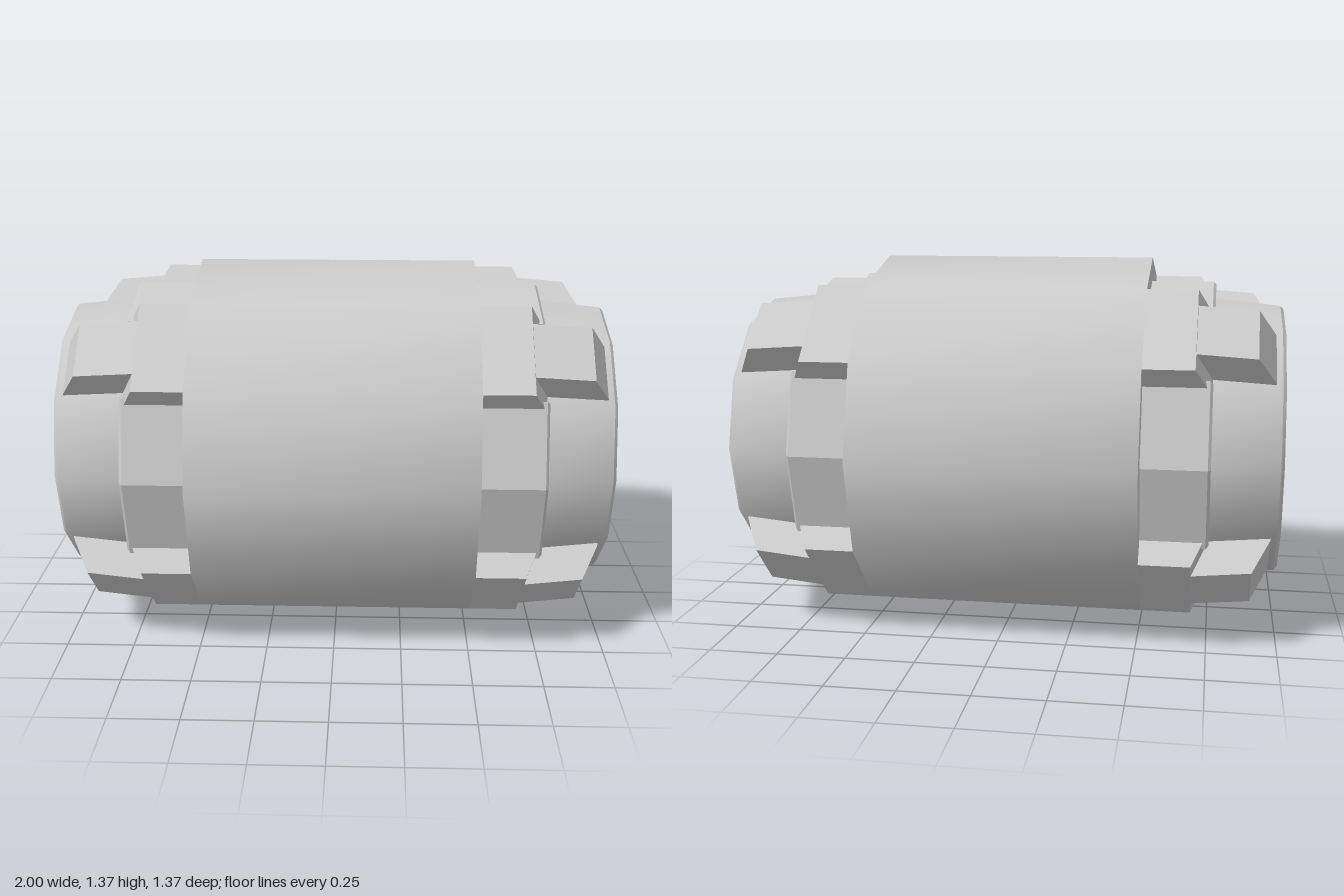
import * as THREE from 'three';
import { toCreasedNormals } from 'three/addons/utils/BufferGeometryUtils.js';
import { ConvexGeometry } from 'three/addons/geometries/ConvexGeometry.js';

const CY = 0.683;      // height of the barrel axis
const FLOOR = 0.82;    // x of the recessed end panel
const grey = new THREE.MeshStandardMaterial({ color: 0xcccccc });

function add(parent, name, geometry) {
  const mesh = new THREE.Mesh(geometry, grey);
  mesh.name = name;
  parent.add(mesh);
  return mesh;
}

// Convex block from [x, radius, tangent] points, turned by angle a about the barrel axis
function radialBlock(points, side, a) {
  const c = Math.cos(a), s = Math.sin(a);
  return new ConvexGeometry(points.map(([x, r, t]) =>
    new THREE.Vector3(x * side, CY + r * c - t * s, r * s + t * c)));
}

// Mirror a list of [x, radius, tangent] points across the tangent
const bothSides = (pts) => pts.flatMap(([x, r, t]) => [[x, r, t], [x, r, -t]]);

// Plate standing on an end panel; outline and hole are [z, y] points
function plate(outline, height, side, hole) {
  const toVec = ([z, y]) => new THREE.Vector2(-z * side, y);
  const shape = new THREE.Shape(outline.map(toVec));
  if (hole) shape.holes.push(new THREE.Path(hole.map(toVec)));
  const g = new THREE.ExtrudeGeometry(shape, { depth: height + 0.01, bevelEnabled: false });
  g.rotateY(side * Math.PI / 2);
  g.translate(side * (FLOOR - 0.01), 0, 0);
  return g;
}

const rect = (z0, z1, y0, y1) => [[z0, y0], [z1, y0], [z1, y1], [z0, y1]];

// Relief details on one end panel
function endDetails(side) {
  const g = new THREE.Group();
  g.name = side > 0 ? 'leftEndDetails' : 'rightEndDetails';
  const put = (name, outline, height, hole) => add(g, name, plate(outline, height, side, hole));

  put('backPlate', [[0.2, 0.74], [0.2, 0.87], [0.15, 0.91], [0.08, 0.93], [-0.09, 0.93],
    [-0.09, 0.83], [-0.04, 0.77], [-0.04, 0.62], [0.15, 0.62]], 0.015);

  // Curved channel sweeping round the lower part
  const arc = [];
  for (let i = 0; i <= 10; i++) {
    const a = -0.25 + i * 0.135;
    arc.push([0.225 * Math.cos(a), 0.72 - 0.25 * Math.sin(a)]);
  }
  for (let i = 10; i >= 0; i--) {
    const a = -0.25 + i * 0.135;
    arc.push([0.185 * Math.cos(a), 0.72 - 0.21 * Math.sin(a)]);
  }
  put('curvedChannel', arc, 0.015);

  put('socket', rect(-0.085, 0.005, 0.855, 0.92), 0.06, rect(-0.07, -0.01, 0.865, 0.908));
  put('sideHook', [[0.195, 0.755], [0.195, 0.875], [0.115, 0.9], [0.12, 0.88], [0.165, 0.84],
    [0.155, 0.755]], 0.06);
  for (let i = 0; i < 3; i++) {
    put('slat', rect(0.015, 0.145 - i * 0.012, 0.697 + i * 0.042, 0.727 + i * 0.042), 0.03 + i * 0.015);
  }
  put('slatEnd', rect(0, 0.015, 0.69, 0.82), 0.04);
  put('wedge', [[0.17, 0.675], [-0.035, 0.675], [-0.035, 0.605], [0.12, 0.605]], 0.09,
    [[0.06, 0.66], [-0.015, 0.66], [-0.015, 0.622], [0.045, 0.622]]);
  put('tiltedBlock', [[0.045, 0.47], [-0.06, 0.545], [-0.1, 0.495], [-0.015, 0.427]], 0.07);
  put('cable', [[-0.07, 0.53], [-0.07, 0.61], [-0.1, 0.64], [-0.125, 0.64], [-0.125, 0.6],
    [-0.105, 0.595], [-0.105, 0.53]], 0.015);
  put('lowerStrip', rect(-0.13, 0.13, 0.43, 0.437), 0.02);
  put('lowerStrip', rect(-0.11, 0.1, 0.397, 0.404), 0.02);

  // Ladder-like column with a cross bar
  put('crossBar', rect(-0.285, -0.075, 0.64, 0.735), 0.03);
  for (const z of [-0.14, -0.225]) put('rail', rect(z - 0.014, z + 0.014, 0.56, 0.81), 0.06);
  for (const y of [0.57, 0.8]) put('railTie', rect(-0.24, -0.125, y - 0.012, y + 0.012), 0.04);
  put('column', rect(-0.2, -0.163, 0.535, 0.835), 0.06);
  for (const y of [0.61, 0.685, 0.76]) put('columnBlock', rect(-0.205, -0.158, y - 0.03, y + 0.03), 0.085);
  return g;
}

export function createModel() {
  const model = new THREE.Group();
  model.name = 'barrel';

  // Twelve-sided turned body: [radius, x] from the end panel out to the middle
  const half = [[0, FLOOR], [0.318, FLOOR], [0.33, 0.93], [0.345, 0.95], [0.393, 0.955],
    [0.4, 0.975], [0.428, 0.98], [0.436, 1], [0.495, 1], [0.508, 0.988], [0.533, 0.75],
    [0.533, 0.51], [0.683, 0.51]];
  const profile = [...half.map(([r, x]) => [r, -x]), ...half.slice().reverse()]
    .map(([r, x]) => new THREE.Vector2(r, x));
  const body = new THREE.LatheGeometry(profile, 12);
  body.rotateZ(-Math.PI / 2);
  body.translate(0, CY, 0);
  add(model, 'body', toCreasedNormals(body, 0.6));

  // Window steps between the clamps
  const step = [[0.5, 0.595, 0], [0.74, 0.595, 0], [0.75, 0.585, 0], [0.75, 0.4, 0],
    ...bothSides([[0.5, 0.516, 0.296], [0.74, 0.516, 0.296], [0.75, 0.508, 0.285],
      [0.5, 0.4, 0.23], [0.75, 0.4, 0.23]])];
  // Wide clamp base and the narrow finger reaching to the rim
  const base = bothSides([[0.5, 0.6595, 0.1767], [0.69, 0.6595, 0.1767],
    [0.75, 0.51, 0.1767], [0.75, 0.45, 0.13], [0.5, 0.45, 0.1767]]);
  const finger = bothSides([[0.6, 0.657, 0.106], [0.69, 0.657, 0.106], [0.9, 0.635, 0.106],
    [0.965, 0.5, 0.106], [0.965, 0.46, 0.106], [0.6, 0.46, 0.106]]);

  for (const side of [1, -1]) {
    for (let k = 0; k < 4; k++) {
      const a = k * Math.PI / 2;
      add(model, 'windowStep', radialBlock(step, side, a));
      add(model, 'clampBase', radialBlock(base, side, a + Math.PI / 4));
      add(model, 'clampFinger', radialBlock(finger, side, a + Math.PI / 4));
    }
    model.add(endDetails(side));
  }
  return model;
}
